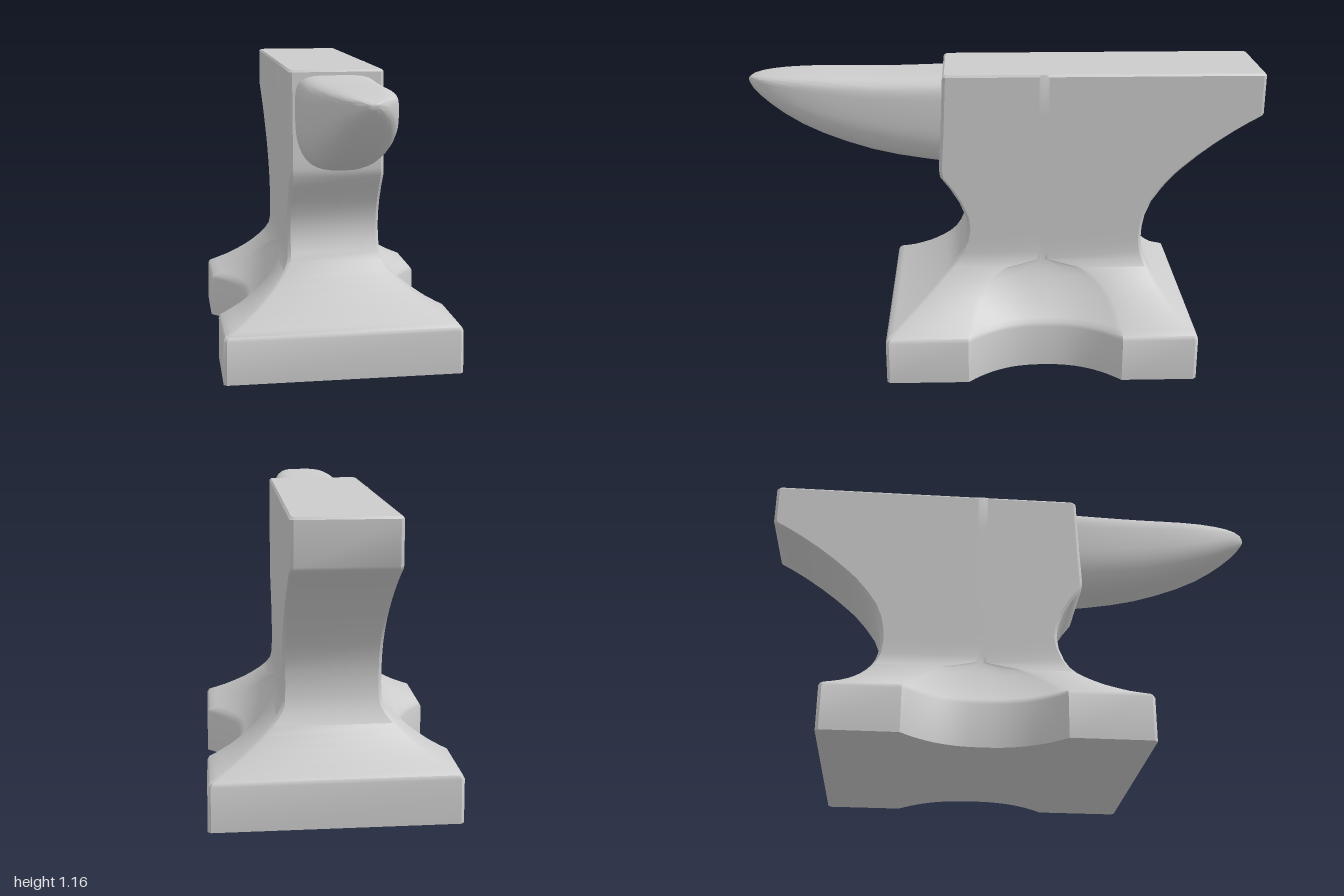
import * as THREE from 'three';
import { toCreasedNormals } from 'three/addons/utils/BufferGeometryUtils.js';

// Closed solid from a list of rings, capped at both ends with fans.
function loft(rings, crease) {
  const n = rings[0].length;
  const pos = [];
  const index = [];
  rings.forEach((ring) => ring.forEach((p) => pos.push(...p)));
  for (let r = 0; r < rings.length - 1; r++) {
    for (let i = 0; i < n; i++) {
      const j = (i + 1) % n;
      const a = r * n + i, b = r * n + j, c = b + n, d = a + n;
      index.push(a, b, c, a, c, d);
    }
  }
  [0, rings.length - 1].forEach((r) => {
    const box = new THREE.Box3().setFromPoints(rings[r].map((p) => new THREE.Vector3(...p)));
    const centre = pos.length / 3;
    pos.push(...box.getCenter(new THREE.Vector3()).toArray());
    for (let i = 0; i < n; i++) {
      const a = r * n + i, b = r * n + ((i + 1) % n);
      if (r === 0) index.push(centre, b, a);
      else index.push(centre, a, b);
    }
  });
  const geometry = new THREE.BufferGeometry();
  geometry.setAttribute('position', new THREE.Float32BufferAttribute(pos, 3));
  geometry.setIndex(index);
  return toCreasedNormals(geometry, crease);
}

// Body rows: height, half width, front z, back z.
const BODY = [
  [0, 0.465, 0.47, -0.745], [0.17, 0.463, 0.47, -0.745], [0.185, 0.455, 0.463, -0.74],
  [0.2, 0.425, 0.44, -0.722], [0.225, 0.38, 0.402, -0.69], [0.25, 0.342, 0.367, -0.662],
  [0.28, 0.3, 0.326, -0.634], [0.31, 0.264, 0.29, -0.61], [0.34, 0.233, 0.255, -0.59],
  [0.37, 0.207, 0.224, -0.573], [0.4, 0.19, 0.198, -0.56], [0.43, 0.185, 0.179, -0.551],
  [0.48, 0.184, 0.158, -0.545], [0.53, 0.184, 0.15, -0.547], [0.58, 0.184, 0.156, -0.556],
  [0.64, 0.184, 0.18, -0.58], [0.7, 0.184, 0.217, -0.622], [0.75, 0.184, 0.255, -0.665],
  [0.78, 0.184, 0.259, -0.697], [0.83, 0.184, 0.256, -0.755], [0.88, 0.184, 0.253, -0.82],
  [0.93, 0.184, 0.25, -0.893], [0.965, 0.184, 0.249, -0.95], [0.99, 0.184, 0.247, -0.995],
  [1.0, 0.184, 0.247, -1], [1.152, 0.184, 0.24, -1], [1.16, 0.177, 0.233, -0.993],
];

// Plan outline of the body; the flared foot is scooped in at the middle of each side.
function bodyRing([y, w, front, back]) {
  const bevel = 0.012, steps = 24, middle = -0.15;
  const rise = Math.max(0, (y - 0.18) / 0.22);
  const reach = Math.max(0.02, 0.3 * Math.sqrt(Math.max(0, 1 - rise * rise)));
  const side = [[w - bevel, y, front], [w, y, front - bevel]];
  for (let i = 0; i <= steps; i++) {
    const t = 1 - (2 * i) / steps;
    const keep = 0.53 + 0.47 * Math.pow(Math.abs(t), 2.4);
    side.push([0.184 + (w - 0.184) * keep, y, middle + reach * t]);
  }
  side.push([w, y, back + bevel], [w - bevel, y, back]);
  return [...side, ...side.map(([x, h, z]) => [-x, h, z]).reverse()];
}

// Horn rows: z, half width, bottom y, top y.
const HORN = [
  [0.22, 0.163, 0.77, 1.14], [0.32, 0.161, 0.785, 1.137], [0.42, 0.158, 0.802, 1.135],
  [0.52, 0.152, 0.825, 1.135], [0.62, 0.145, 0.857, 1.137], [0.71, 0.136, 0.892, 1.139],
  [0.79, 0.124, 0.93, 1.139], [0.86, 0.108, 0.973, 1.137], [0.91, 0.091, 1.01, 1.134],
  [0.95, 0.07, 1.043, 1.13], [0.98, 0.045, 1.073, 1.124], [0.995, 0.022, 1.093, 1.117],
  [1, 0.008, 1.102, 1.112],
];

// Horn section: nearly square on top, rounder below.
function hornRing([z, w, bottom, top]) {
  const count = 48;
  const belt = bottom + (top - bottom) * 0.6;
  return Array.from({ length: count }, (_, i) => {
    const a = (i / count) * Math.PI * 2;
    const c = Math.cos(a), s = Math.sin(a);
    const power = 2 / (s > 0 ? 4.5 : 2.7);
    const x = w * Math.sign(c) * Math.pow(Math.abs(c), power);
    const h = Math.sign(s) * Math.pow(Math.abs(s), power);
    return [x, belt + h * (s > 0 ? top - belt : belt - bottom), z];
  });
}

export function createModel() {
  const model = new THREE.Group();
  model.name = 'anvil';
  const material = new THREE.MeshStandardMaterial({ color: 0xcccccc });
  const add = (name, geometry) => {
    const mesh = new THREE.Mesh(geometry, material);
    mesh.name = name;
    model.add(mesh);
  };
  add('body', loft(BODY.map(bodyRing), 0.65));
  add('horn', loft(HORN.map(hornRing), 1.2));
  return model;
}
